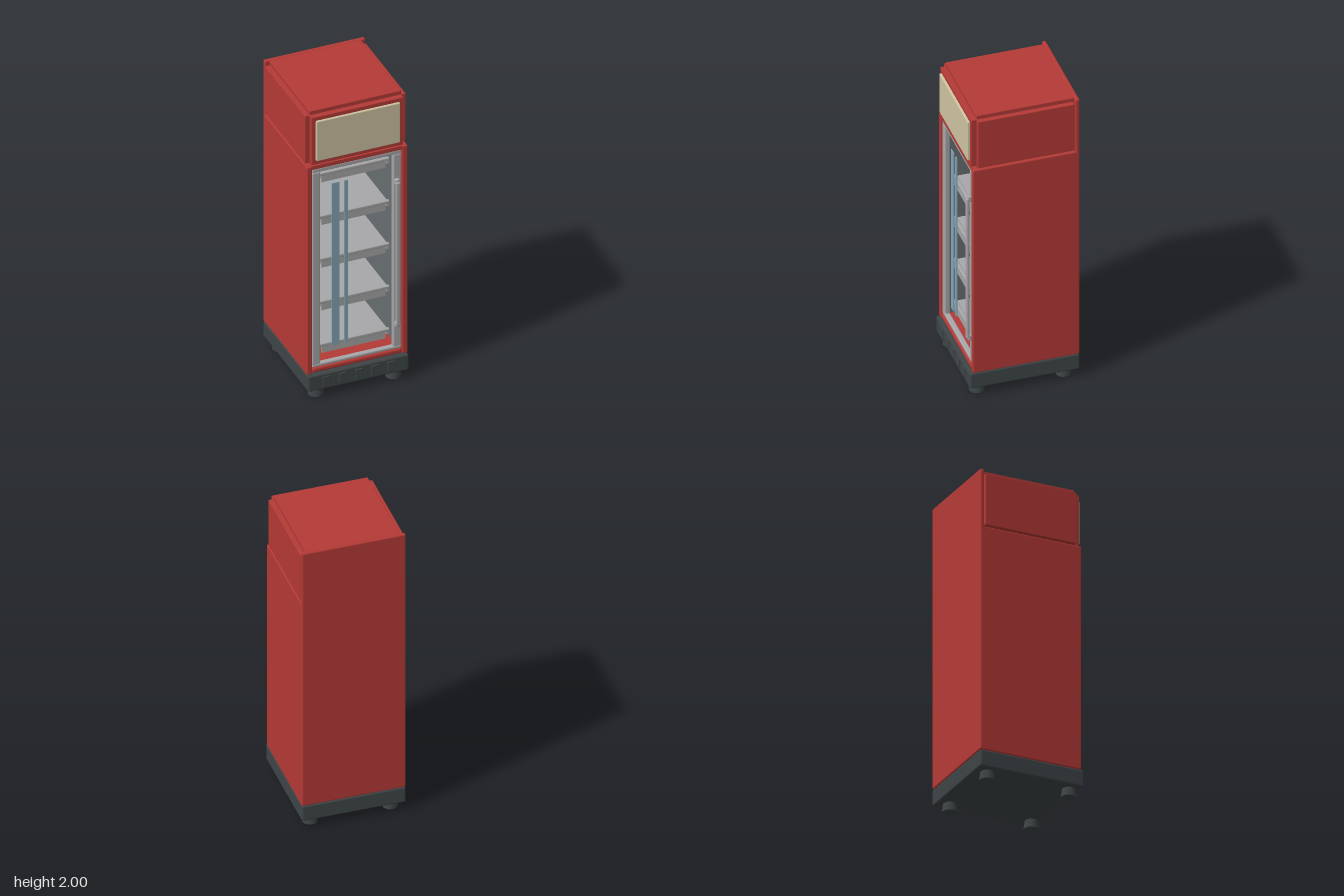
import * as THREE from 'three';
import { RoundedBoxGeometry } from 'three/addons/geometries/RoundedBoxGeometry.js';

const mat = (name, color) => {
  const m = new THREE.MeshStandardMaterial({ color });
  m.name = name;
  return m;
};

export function createModel() {
  const red = mat('red paint', 0xb53a36);
  const cream = mat('cream sign', 0xcfc3a2);
  const grey = mat('light grey', 0xa8a8aa);
  const liner = mat('dark grey liner', 0x686e71);
  const blue = mat('pale blue', 0x83a6b6);
  const charcoal = mat('charcoal plastic', 0x3e4547);

  const model = new THREE.Group();
  model.name = 'displayFridge';

  // Box given by its limits on each axis; r rounds the edges
  const box = (name, material, [x0, x1], [y0, y1], [z0, z1], r = 0) => {
    const w = x1 - x0, h = y1 - y0, d = z1 - z0;
    const geo = r ? new RoundedBoxGeometry(w, h, d, 2, r) : new THREE.BoxGeometry(w, h, d);
    const mesh = new THREE.Mesh(geo, material);
    mesh.name = name;
    mesh.position.set((x0 + x1) / 2, (y0 + y1) / 2, (z0 + z1) / 2);
    model.add(mesh);
    return mesh;
  };
  // The same box on both sides of x = 0
  const pair = (name, material, [x0, x1], y, z, r) => {
    box(name + 'Left', material, [x0, x1], y, z, r);
    box(name + 'Right', material, [-x1, -x0], y, z, r);
  };

  // Plinth with front ribs and four tapered feet
  box('plinth', charcoal, [-0.325, 0.325], [0.055, 0.165], [-0.345, 0.34], 0.012);
  for (let i = -2; i <= 2; i++) {
    box('plinthRib', charcoal, [i * 0.104 - 0.025, i * 0.104 + 0.025], [0.075, 0.145], [0.33, 0.346], 0.004);
  }
  for (const x of [-0.25, 0.25]) {
    for (const z of [-0.265, 0.275]) {
      const foot = new THREE.Mesh(new THREE.CylinderGeometry(0.04, 0.048, 0.06, 20), charcoal);
      foot.name = 'foot';
      foot.position.set(x, 0.03, z);
      model.add(foot);
    }
  }

  // Cabinet shell
  pair('cabinetSide', red, [0.289, 0.325], [0.165, 1.625], [-0.342, 0.322], 0.008);
  box('backPanel', red, [-0.325, 0.325], [0.165, 2.0], [-0.345, -0.318], 0.01);
  box('cabinetFloor', red, [-0.295, 0.295], [0.165, 0.2], [-0.32, 0.3]);
  box('cabinetCeiling', red, [-0.295, 0.295], [1.6, 1.625], [-0.32, 0.318]);
  box('frontSill', red, [-0.287, 0.287], [0.17, 0.206], [0.28, 0.322], 0.014);

  // Interior lining
  box('linerBack', liner, [-0.289, 0.289], [0.2, 1.6], [-0.318, -0.3]);
  pair('linerSide', liner, [0.275, 0.289], [0.2, 1.6], [-0.3, 0.28]);
  box('linerCeiling', liner, [-0.275, 0.275], [1.585, 1.6], [-0.3, 0.28]);

  // Shelves with a front bar and a price rail below
  for (let i = 0; i < 5; i++) {
    const y = 0.305 + i * 0.3;
    box('shelf', grey, [-0.225, 0.225], [y - 0.01, y + 0.01], [-0.3, 0.25]);
    box('shelfFrontBar', grey, [-0.232, 0.232], [y, y + 0.022], [0.245, 0.267], 0.006);
    box('priceRail', grey, [-0.206, 0.206], [y - 0.045, y + 0.004], [0.25, 0.262]);
    pair('shelfBracket', grey, [0.212, 0.232], [y - 0.018, y + 0.004], [0.235, 0.262]);
  }

  // Door frame, glass reflections and handle
  pair('doorStile', grey, [0.235, 0.287], [0.222, 1.572], [0.28, 0.314], 0.008);
  box('doorTopRail', grey, [-0.287, 0.287], [1.57, 1.6], [0.28, 0.314], 0.008);
  box('doorBottomRail', grey, [-0.287, 0.287], [0.204, 0.226], [0.28, 0.314], 0.008);
  box('glassStripeWide', blue, [-0.157, -0.106], [0.323, 1.462], [0.296, 0.302]);
  box('glassStripeNarrow', blue, [-0.075, -0.053], [0.323, 1.462], [0.296, 0.302]);
  box('handleGrip', grey, [0.24, 0.271], [0.38, 1.39], [0.322, 0.345], 0.01);
  for (const y of [0.365, 1.365]) {
    box('handleMount', grey, [0.24, 0.271], [y, y + 0.04], [0.305, 0.335], 0.008);
  }

  // Header: stepped panels around a recessed core
  box('headerCore', red, [-0.294, 0.294], [1.615, 1.97], [-0.32, 0.29]);
  box('headerRoof', red, [-0.295, 0.295], [1.96, 1.997], [-0.32, 0.29], 0.004);
  pair('headerSide', red, [0.285, 0.325], [1.637, 1.97], [-0.312, 0.29], 0.004);
  box('headerFront', red, [-0.295, 0.295], [1.637, 1.97], [0.28, 0.324], 0.004);
  box('signPanel', cream, [-0.27, 0.27], [1.665, 1.944], [0.315, 0.338], 0.006);

  return model;
}
